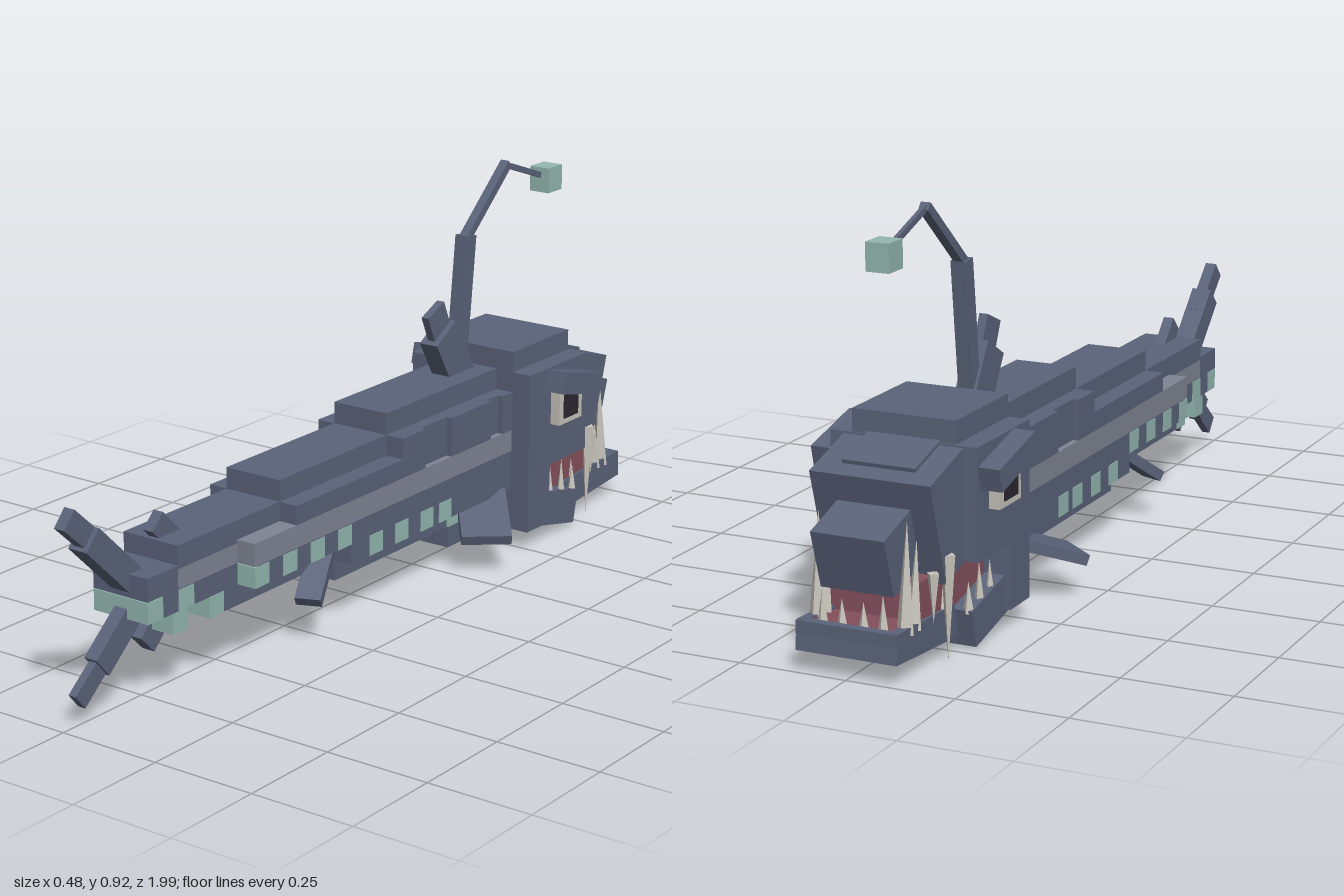
import * as THREE from 'three';

const mat = (name, color) => {
  const m = new THREE.MeshStandardMaterial({ color });
  m.name = name;
  return m;
};

export function createModel() {
  const skin = mat('slate skin', 0x5a6379);
  const stripe = mat('grey stripe', 0x7f8594);
  const glow = mat('pale green glow', 0x94b7b0);
  const flesh = mat('mouth flesh', 0x85505e);
  const bone = mat('tooth white', 0xc6c3ba);
  const dark = mat('dark pupil', 0x2c2730);
  const root = new THREE.Group();
  root.name = 'deepSeaFish';

  const add = (name, geo, m) => {
    const mesh = new THREE.Mesh(geo, m);
    mesh.name = name;
    root.add(mesh);
    return mesh;
  };
  // Axis-aligned block given by its limits
  const block = (name, m, x0, x1, y0, y1, z0, z1) => {
    const b = add(name, new THREE.BoxGeometry(x1 - x0, y1 - y0, Math.abs(z1 - z0)), m);
    b.position.set((x0 + x1) / 2, (y0 + y1) / 2, (z0 + z1) / 2);
    return b;
  };
  // Centred block of half width w
  const slab = (name, m, w, y0, y1, z0, z1) => block(name, m, -w, w, y0, y1, z0, z1);
  // Tilted bar between two [z, y] points
  const bar = (name, m, a, b, thick, width, x = 0) => {
    const dz = b[0] - a[0], dy = b[1] - a[1];
    const mesh = add(name, new THREE.BoxGeometry(width, thick, Math.hypot(dz, dy)), m);
    mesh.position.set(x, (a[1] + b[1]) / 2, (a[0] + b[0]) / 2);
    mesh.rotation.x = -Math.atan2(dy, dz);
    return mesh;
  };

  // Stepped back
  slab('backRidgeFront', skin, 0.075, 0.4, 0.465, -0.04, -0.49);
  slab('backRidgeMiddle', skin, 0.075, 0.35, 0.413, 0.36, -0.04);
  slab('backRidgeRear', skin, 0.075, 0.31, 0.363, 0.71, 0.36);
  slab('flankMiddle', skin, 0.122, 0.318, 0.363, 0.36, -0.04);
  slab('flankCore', skin, 0.108, 0.318, 0.413, -0.04, -0.49);
  for (const [z0, z1] of [[-0.04, -0.13], [-0.235, -0.4], [-0.45, -0.49]])
    slab('flankPlate', skin, 0.122, 0.318, 0.413, z0, z1);

  // Side stripe and tail core
  slab('sideStripe', stripe, 0.122, 0.265, 0.318, 0.51, -0.49);
  slab('tailStripe', stripe, 0.075, 0.265, 0.318, 0.71, 0.51);
  slab('tailEnd', skin, 0.075, 0.265, 0.318, 0.81, 0.71);

  // Stepped belly
  slab('tailBelly', skin, 0.075, 0.215, 0.265, 0.76, 0.51);
  slab('bellyUpper', skin, 0.122, 0.215, 0.265, 0.5, -0.49);
  slab('bellyRear', skin, 0.075, 0.167, 0.215, 0.6, 0.16);
  slab('bellyMiddle', skin, 0.122, 0.167, 0.215, 0.16, -0.49);
  slab('bellyLower', skin, 0.075, 0.117, 0.167, 0.16, -0.49);
  slab('throat', skin, 0.075, 0.065, 0.117, -0.29, -0.49);

  // Rows of light organs: [z start, y bottom, half width]
  const lights = [
    [0.76, 0.215, 0.075], [0.66, 0.215, 0.077], [0.46, 0.215, 0.124], [0.36, 0.215, 0.124],
    [0.26, 0.215, 0.124], [0.16, 0.215, 0.124], [0.68, 0.167, 0.075], [0.56, 0.167, 0.077],
    [0.04, 0.167, 0.124], [-0.06, 0.167, 0.124], [-0.16, 0.167, 0.124], [-0.235, 0.167, 0.124],
    [-0.335, 0.119, 0.08], [-0.435, 0.119, 0.08],
  ];
  for (const [z, y, w] of lights)
    for (const s of [-1, 1])
      block('lightOrgan', glow, s > 0 ? 0 : -w, s > 0 ? w : 0, y, y + 0.048, z, z + 0.05);

  // Head with open mouth
  slab('headUpper', skin, 0.172, 0.215, 0.463, -0.49, -0.74);
  slab('headLower', skin, 0.172, 0.065, 0.215, -0.49, -0.585);
  slab('headCrest', skin, 0.122, 0.46, 0.514, -0.49, -0.735);
  bar('face', skin, [-0.7, 0.347], [-0.855, 0.302], 0.237, 0.28);
  bar('facePlate', skin, [-0.7, 0.462], [-0.845, 0.422], 0.03, 0.17);
  bar('snout', skin, [-0.83, 0.297], [-0.965, 0.255], 0.135, 0.17);
  bar('jawRear', skin, [-0.55, 0.105], [-0.73, 0.065], 0.085, 0.316);
  bar('jawFront', skin, [-0.72, 0.07], [-0.996, 0.093], 0.055, 0.234);
  bar('mouthInside', flesh, [-0.57, 0.165], [-0.87, 0.155], 0.1, 0.22);
  bar('mouthFloor', flesh, [-0.74, 0.1], [-0.97, 0.12], 0.012, 0.19);
  for (const s of [-1, 1]) {
    bar('jawRim', skin, [-0.74, 0.105], [-0.99, 0.118], 0.025, 0.022, s * 0.106);
  }
  slab('jawLip', skin, 0.117, 0.1, 0.13, -0.975, -0.996);

  // Pointed teeth
  const tooth = (x, z, y0, y1, r, lean = 0) => {
    const t = add('tooth', new THREE.ConeGeometry(r, Math.abs(y1 - y0), 4).toNonIndexed(), bone);
    t.geometry.computeVertexNormals();
    t.position.set(x, (y0 + y1) / 2, z);
    t.rotation.set(y1 < y0 ? Math.PI : 0, 0, 0);
    t.rotation.x += lean;
  };

  for (const s of [-1, 1]) {
    tooth(s * 0.102, -0.925, 0.11, 0.35, 0.02, 0.06);
    tooth(s * 0.104, -0.89, 0.11, 0.3, 0.018, 0.1);
    tooth(s * 0.07, -0.965, 0.11, 0.2, 0.014);
    tooth(s * 0.025, -0.965, 0.11, 0.18, 0.014);
    tooth(s * 0.138, -0.81, 0.25, 0.018, 0.018);
    tooth(s * 0.125, -0.85, 0.22, 0.11, 0.014);
    for (const [z, h] of [[-0.63, 0.19], [-0.68, 0.2], [-0.73, 0.17], [-0.78, 0.18]])
      tooth(s * (z < -0.75 ? 0.108 : 0.145), z, 0.1, h, 0.013);

    // Eyes under heavy brows
    const eye = block('eye', bone, 0.16, 0.197, 0.318, 0.402, -0.585, -0.685);
    eye.position.x *= s;
    const pupil = block('pupil', dark, 0.196, 0.2, 0.332, 0.392, -0.603, -0.665);
    pupil.position.x *= s;
    bar('brow', skin, [-0.56, 0.436], [-0.73, 0.395], 0.053, 0.062, s * 0.191);

    // Paired fins: flat plates running out, back and down
    const fin = (name, a, b, width, thick) => {
      const p = new THREE.Vector3(...a), q = new THREE.Vector3(...b);
      p.x *= s;
      q.x *= s;
      const d = q.clone().sub(p);
      const mesh = add(name, new THREE.BoxGeometry(width, thick, d.length()), skin);
      const z = d.normalize();
      const x = new THREE.Vector3(z.z, 0, -z.x).normalize();
      const y = z.clone().cross(x);
      mesh.quaternion.setFromRotationMatrix(new THREE.Matrix4().makeBasis(x, y, z));
      mesh.position.copy(p).add(q).multiplyScalar(0.5);
    };
    fin('pectoralFin', [0.08, 0.17, -0.42], [0.19, 0.108, -0.287], 0.12, 0.025);
    fin('pelvicFin', [0.07, 0.205, 0.2], [0.118, 0.122, 0.315], 0.06, 0.025);
  }

  // Tail and single fins
  bar('tailFinUpper', skin, [0.76, 0.27], [0.92, 0.425], 0.06, 0.05);
  bar('tailFinUpperTip', skin, [0.87, 0.385], [0.977, 0.483], 0.05, 0.028);
  bar('tailFinLower', skin, [0.75, 0.25], [0.89, 0.13], 0.06, 0.034);
  bar('tailFinLowerTip', skin, [0.85, 0.16], [0.955, 0.072], 0.045, 0.02);
  bar('smallBackFin', skin, [0.64, 0.34], [0.7, 0.4], 0.05, 0.026);
  bar('smallBellyFin', skin, [0.66, 0.22], [0.745, 0.135], 0.06, 0.034);
  bar('dorsalFin', skin, [-0.43, 0.44], [-0.35, 0.575], 0.09, 0.05);
  bar('dorsalFinTip', skin, [-0.37, 0.54], [-0.328, 0.635], 0.07, 0.02);

  // Lure on its jointed rod
  bar('lureRodBase', skin, [-0.425, 0.45], [-0.463, 0.79], 0.036, 0.036);
  bar('lureRodMiddle', skin, [-0.458, 0.782], [-0.632, 0.935], 0.02, 0.023);
  bar('lureRodTip', skin, [-0.625, 0.932], [-0.79, 0.875], 0.014, 0.01);
  slab('lure', glow, 0.027, 0.835, 0.897, -0.78, -0.84);

  return root;
}
